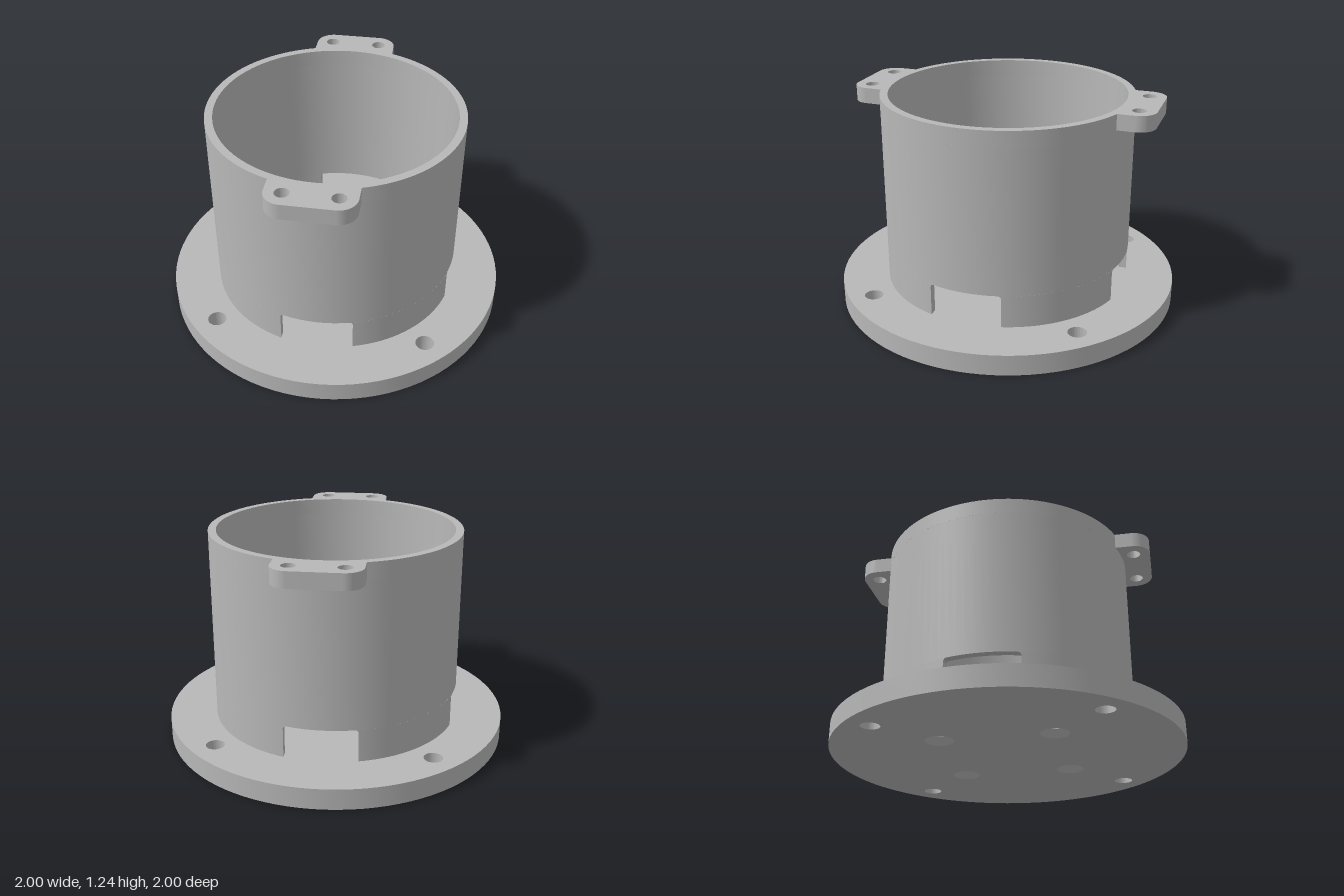
import * as THREE from 'three';
import { toCreasedNormals } from 'three/addons/utils/BufferGeometryUtils.js';

const OUTER = 0.725, INNER = 0.68;          // wall radii
const BASE_TOP = 0.12, SLOT_TOP = 0.31, TAB_BOTTOM = 1.15, TOP = 1.24;
const SLOT = 0.205;                         // half width of the wall slots
const TAB = 0.237, TAB_END = 0.88, TAB_ROUND = 0.1;
const SIGNS = [-1, 1];

function circle(x, y, r) {
  return new THREE.Path().absarc(x, y, r, 0, Math.PI * 2, true);
}

// Extrude a plan shape upward from y0 to y1
function slab(shape, y0, y1, curveSegments = 48, steps = 1) {
  const g = new THREE.ExtrudeGeometry(shape, { depth: y1 - y0, bevelEnabled: false, curveSegments, steps });
  return g.rotateX(-Math.PI / 2).translate(0, y0, 0);
}

export function createModel() {
  const group = new THREE.Group();
  const grey = new THREE.MeshStandardMaterial({ color: 0xb8b8b8 });
  grey.name = 'plain grey';

  const add = (name, geometry, turn = 0) => {
    const mesh = new THREE.Mesh(toCreasedNormals(geometry, 0.5), grey);
    mesh.name = name;
    mesh.rotation.y = turn;
    group.add(mesh);
  };

  // Base flange with four mounting holes and four countersunk screw holes
  const plate = new THREE.Shape().absarc(0, 0, 1, 0, Math.PI * 2);
  const screw = 0.315, screwR = 0.042, sinkR = 0.08;
  for (const sx of SIGNS) for (const sy of SIGNS) {
    plate.holes.push(circle(sx * 0.607, sy * 0.607, 0.053));
    plate.holes.push(circle(sx * screw, sy * screw, screwR));
  }
  const base = slab(plate, 0, BASE_TOP, 48, 3);
  const p = base.attributes.position;
  for (let i = 0; i < p.count; i++) {
    // widen the bottom rim of each screw hole into a countersink
    const cx = Math.sign(p.getX(i)) * screw, cz = Math.sign(p.getZ(i)) * screw;
    const dx = p.getX(i) - cx, dz = p.getZ(i) - cz;
    if (p.getY(i) < 0.01 && Math.hypot(dx, dz) < screwR + 0.002) {
      p.setX(i, cx + dx * sinkR / screwR);
      p.setZ(i, cz + dz * sinkR / screwR);
    }
  }
  add('baseFlange', base);

  // Main cylindrical wall
  const ring = new THREE.Shape().absarc(0, 0, OUTER, 0, Math.PI * 2);
  ring.holes.push(circle(0, 0, INNER));
  add('cylinderWall', slab(ring, SLOT_TOP, TAB_BOTTOM));

  // Rim with a rounded two-hole tab at the front and back
  const rim = new THREE.Shape();
  const a = Math.asin(TAB / OUTER), q = Math.PI / 2;
  for (const s of [1, -1]) {
    const turn = s > 0 ? 0 : Math.PI;
    const cx = TAB - TAB_ROUND, cy = TAB_END - TAB_ROUND;
    rim.absarc(0, 0, OUTER, turn - q + a, turn + q - a);
    rim.absarc(s * cx, s * cy, TAB_ROUND, turn, turn + q);
    rim.absarc(-s * cx, s * cy, TAB_ROUND, turn + q, turn + 2 * q);
  }
  rim.closePath();
  rim.holes.push(circle(0, 0, INNER));
  for (const sx of SIGNS) for (const sy of SIGNS) rim.holes.push(circle(sx * 0.142, sy * 0.785, 0.039));
  add('rimWithTabs', slab(rim, TAB_BOTTOM, TOP));

  // Wall feet between the four slots
  const ao = Math.asin(SLOT / OUTER), ai = Math.asin(SLOT / INNER);
  const foot = new THREE.Shape();
  foot.absarc(0, 0, OUTER, ao, q - ao);
  foot.absarc(0, 0, INNER, q - ai, ai, true);
  foot.closePath();

  // Small fillet in the upper corners of a slot
  const r = 0.02;
  const fillet = new THREE.Shape();
  fillet.moveTo(SLOT, SLOT_TOP);
  fillet.lineTo(SLOT - r, SLOT_TOP);
  fillet.absarc(SLOT - r, SLOT_TOP - r, r, q, 0, true);
  fillet.closePath();

  for (let i = 0; i < 4; i++) {
    add('wallFoot', slab(foot, BASE_TOP, SLOT_TOP, 24), i * q);
    for (const side of SIGNS) {
      const shape = side > 0 ? fillet
        : new THREE.Shape(fillet.getPoints(8).map(v => new THREE.Vector2(-v.x, v.y)));
      const g = new THREE.ExtrudeGeometry(shape, { depth: 1, bevelEnabled: false, curveSegments: 8 });
      const v = g.attributes.position;
      for (let k = 0; k < v.count; k++) {
        // bend both ends onto the wall's inner and outer surfaces
        const radius = v.getZ(k) > 0.5 ? OUTER : INNER;
        v.setZ(k, Math.sqrt(radius ** 2 - v.getX(k) ** 2));
      }
      add('slotFillet', g, i * q);
    }
  }
  return group;
}
